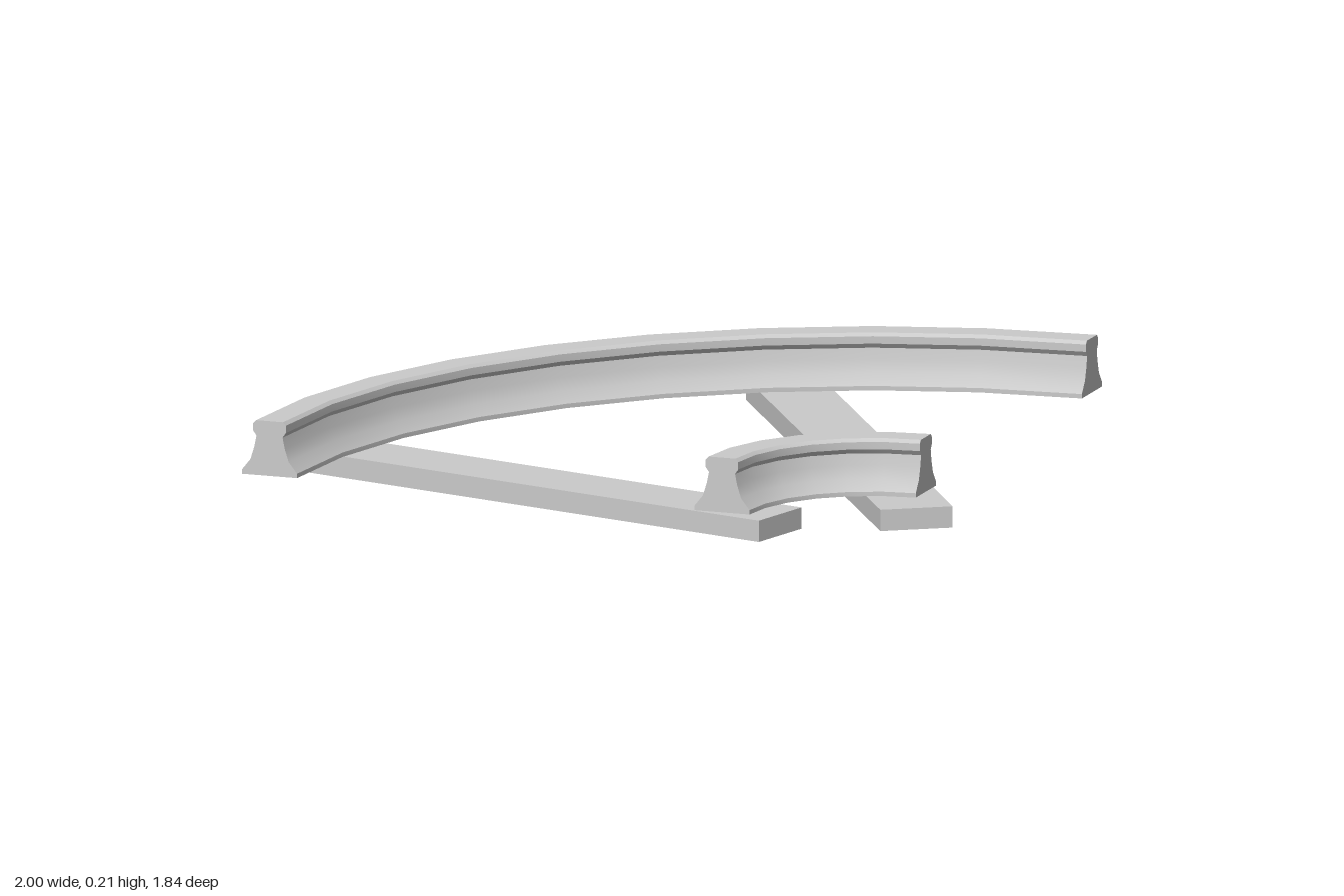
import * as THREE from 'three';
import { mergeGeometries, toCreasedNormals } from 'three/addons/utils/BufferGeometryUtils.js';

// Right half of the rail section: foot, web, head (offset from centreline, height)
const HALF = [
  [0.078, 0.058], [0.078, 0.07], [0.054, 0.1], [0.043, 0.135],
  [0.037, 0.165], [0.046, 0.178], [0.046, 0.198], [0.038, 0.207],
];
const SECTION = [...HALF, ...HALF.map(([x, y]) => [-x, y]).reverse()];

const material = new THREE.MeshStandardMaterial({ color: 0xcccccc });

// Flat end cap of a rail; sign mirrors the section across x
function capGeometry(radius, sign) {
  return new THREE.ShapeGeometry(new THREE.Shape(
    SECTION.map(([x, y]) => new THREE.Vector2(sign * (radius + x), y))));
}

// Quarter-circle rail swept about the y axis, closed at both ends
function curvedRail(name, radius, segments) {
  const loop = [...SECTION, SECTION[0]].map(([x, y]) => new THREE.Vector2(radius + x, y));
  const sweep = new THREE.LatheGeometry(loop, segments, Math.PI, Math.PI / 2);
  const frontCap = capGeometry(radius, -1);
  const sideCap = capGeometry(radius, 1).rotateY(Math.PI / 2);
  const geometry = toCreasedNormals(mergeGeometries([sweep, frontCap, sideCap]), THREE.MathUtils.degToRad(32));
  const rail = new THREE.Mesh(geometry, material);
  rail.name = name;
  rail.position.set(0.87, 0, 0.86); // shared centre of the curve
  return rail;
}

// Flat plank under the rails, turned by an angle from +x towards +z
function sleeper(name, x, z, degrees) {
  const plank = new THREE.Mesh(new THREE.BoxGeometry(1.632, 0.058, 0.197), material);
  plank.name = name;
  plank.position.set(x, 0.029, z);
  plank.rotation.y = -THREE.MathUtils.degToRad(degrees);
  return plank;
}

export function createModel() {
  const model = new THREE.Group();
  model.name = 'curvedTrack';
  model.add(
    curvedRail('outerRail', 1.702, 9),
    curvedRail('innerRail', 0.422, 6),
    sleeper('frontSleeper', -0.188, 0.615, 15),
    sleeper('backSleeper', 0.473, -0.053, 57.2),
  );
  return model;
}
